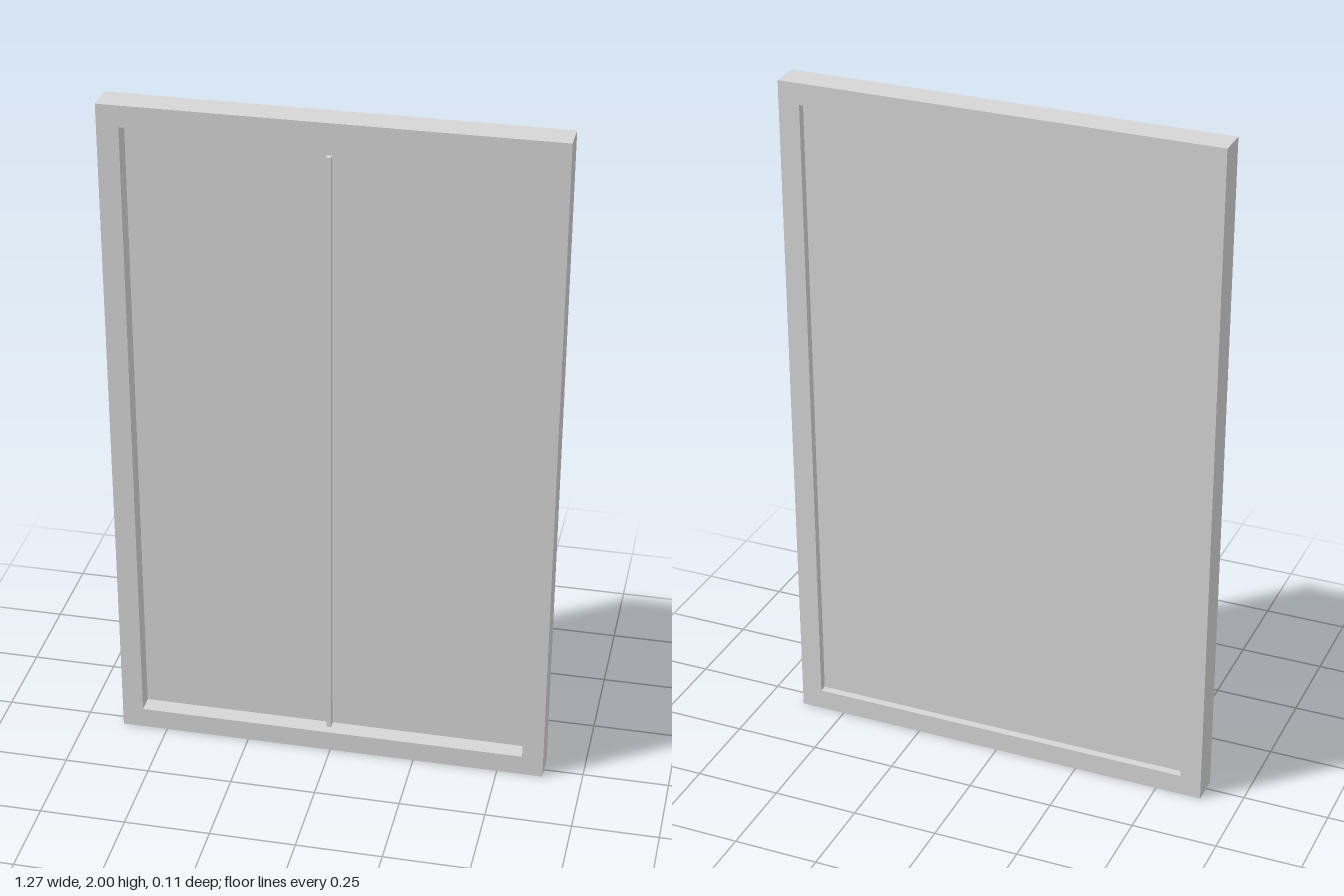
import * as THREE from 'three';

export function createModel() {
  const model = new THREE.Group();
  model.name = 'framedPanel';
  const lightGrey = new THREE.MeshStandardMaterial({ color: 0xd6d6d6 });
  lightGrey.name = 'lightGrey';

  const add = (name, geometry, x, y, z) => {
    const mesh = new THREE.Mesh(geometry, lightGrey);
    mesh.name = name;
    mesh.position.set(x, y, z);
    model.add(mesh);
  };

  const W = 1.27, H = 2, border = 0.062;
  const back = -0.053, depth = 0.088;

  // Outer frame with a rectangular opening
  const rect = (ShapeType, w, h) => new ShapeType([
    new THREE.Vector2(-w / 2, -h / 2), new THREE.Vector2(w / 2, -h / 2),
    new THREE.Vector2(w / 2, h / 2), new THREE.Vector2(-w / 2, h / 2),
  ]);
  const outline = rect(THREE.Shape, W, H);
  outline.holes.push(rect(THREE.Path, W - 2 * border, H - 2 * border));
  add('frame', new THREE.ExtrudeGeometry(outline, { depth, bevelEnabled: false }), 0, H / 2, back);

  // Thin panel, recessed deeper on the front than on the back
  add('panel', new THREE.BoxGeometry(W - 2 * border, H - 2 * border, 0.012), 0, H / 2, -0.024);

  // Slim vertical bar standing proud of the front
  add('centreBar', new THREE.BoxGeometry(0.014, 1.815, 0.016), 0, 1.003, 0.045);

  return model;
}
